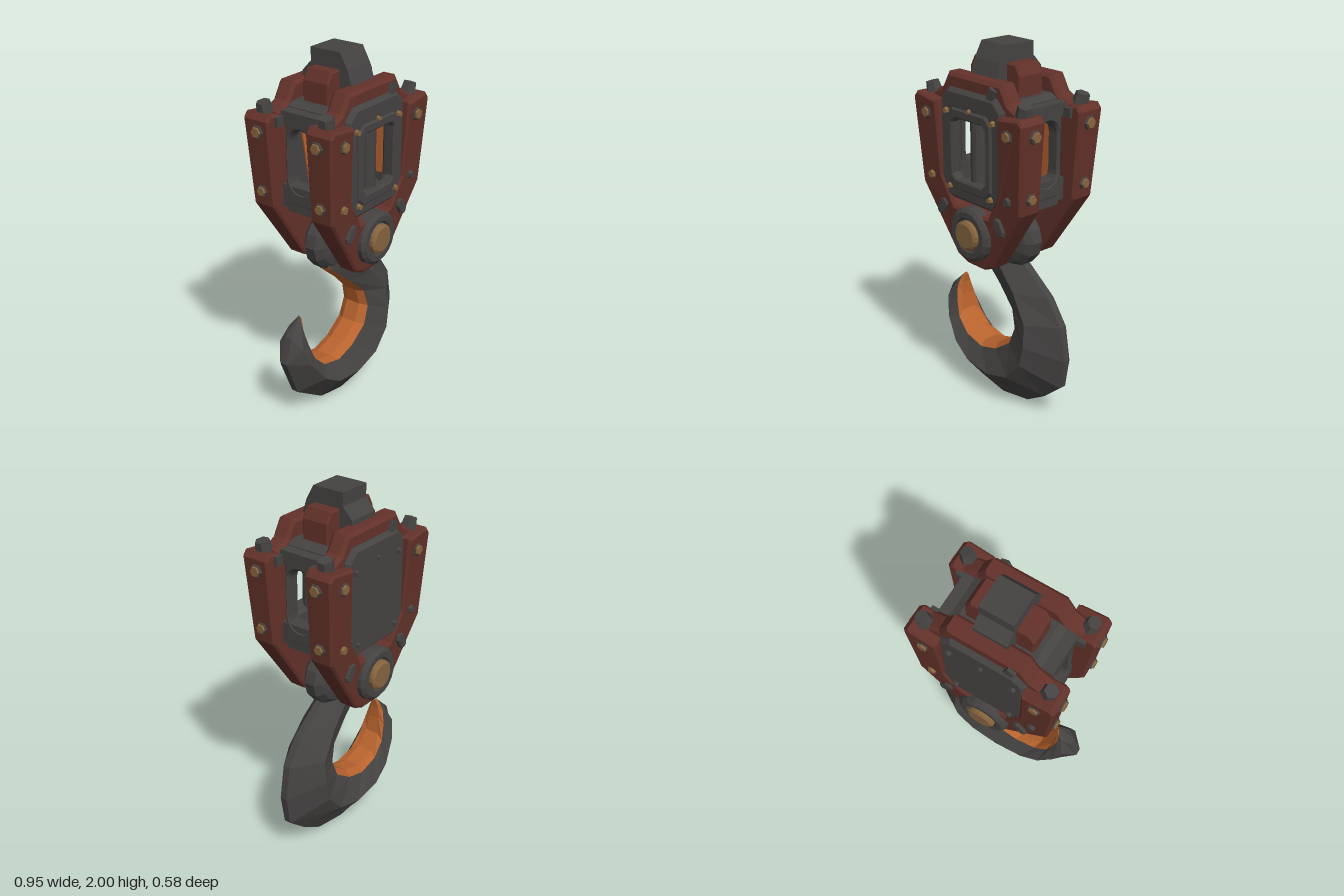
import * as THREE from 'three';

const mat = (name, color) => Object.assign(new THREE.MeshStandardMaterial({ color }), { name });

export function createModel() {
  const grey = mat('dark steel', 0x454342), red = mat('rust red paint', 0x63322a);
  const brown = mat('bronze', 0x87653f), orange = mat('orange paint', 0xb8632e);
  const root = new THREE.Group();
  root.name = 'craneHookBlock';

  // Faceted mesh helper
  const add = (parent, name, geo, material) => {
    const g = geo.index ? geo.toNonIndexed() : geo;
    g.computeVertexNormals();
    const m = new THREE.Mesh(g, material);
    m.name = name;
    parent.add(m);
    return m;
  };
  const box = (parent, name, m, w, h, d, x, y, z) =>
    add(parent, name, new THREE.BoxGeometry(w, h, d).translate(x, y, z), m);
  const poly = pts => new THREE.Shape(pts.map(p => new THREE.Vector2(...p)));
  // Mirrors the right half of an outline across x = 0
  const mirrored = half => poly([...half, ...half.slice().reverse().map(([x, y]) => [-x, y])]);
  // Extrudes exactly between z0 and z1, with bevels inside the outline
  const slab = (shape, z0, z1, b = 0.012) => new THREE.ExtrudeGeometry(shape, {
    depth: z1 - z0 - 2 * b, bevelEnabled: b > 0, bevelThickness: b, bevelSize: b,
    bevelOffset: -b, bevelSegments: 1, curveSegments: 5,
  }).translate(0, 0, z0 + b);
  // Rectangle with cut corners
  const octagon = (w, y0, y1, c) => mirrored([[w - c, y0], [w, y0 + c], [w, y1 - c], [w - c, y1]]);
  // Hexagonal bolt head standing on a surface along dir
  const bolt = (parent, m, r, h, pos, dir) => {
    const g = new THREE.CylinderGeometry(r * 0.8, r, h, 6).translate(0, h / 2, 0);
    const b = add(parent, 'bolt', g, m);
    b.position.set(...pos);
    b.quaternion.setFromUnitVectors(new THREE.Vector3(0, 1, 0), new THREE.Vector3(...dir).normalize());
  };
  // Bronze bolt on a steel washer
  const stud = (parent, r, h, pos, dir) => {
    bolt(parent, grey, r, h * 0.6, pos, dir);
    bolt(parent, brown, r * 0.78, h, pos, dir);
  };

  // One cheek of the block, facing +z
  const cheek = front => {
    const c = new THREE.Group();
    c.name = front ? 'frontCheek' : 'backCheek';

    // Forked red plate, thinner towards the pin
    const fork = slab(mirrored([[0.07, 0.842], [0.14, 0.873], [0.375, 1.23], [0.41, 1.69], [0.385, 1.72],
      [0.23, 1.7], [0.215, 1.3], [0.13, 1.15]]), 0.115, 0.275, 0.012);
    const p = fork.attributes.position;
    for (let i = 0; i < p.count; i++) {
      const y = p.getY(i), z = p.getZ(i);
      const outer = y > 1.2 ? 0.25 + (y - 1.2) * 0.05 : 0.22 + (y - 0.86) * 0.088;
      p.setZ(i, 0.115 + (z - 0.115) * (outer - 0.115) / 0.16);
    }
    add(c, 'forkPlate', fork, red);

    // Top beam joining the arms
    add(c, 'topBeam', slab(mirrored([[0.33, 1.67], [0.33, 1.72], [0.25, 1.76], [0.2, 1.845]]),
      0.115, 0.217, 0.018), red);

    // Panel between the arms, with a barred window on the front
    const panel = octagon(0.235, 1.19, 1.775, 0.06);
    if (front) {
      panel.holes.push(octagon(0.135, 1.3, 1.64, 0.025));
      const rim = octagon(0.165, 1.255, 1.68, 0.04);
      rim.holes.push(octagon(0.125, 1.31, 1.63, 0.025));
      add(c, 'windowRim', slab(rim, 0.2, 0.257, 0.008), grey);
      add(c, 'windowBar', new THREE.CylinderGeometry(0.042, 0.042, 0.38, 12).translate(0, 1.47, 0.185), grey);
    }
    add(c, 'panel', slab(panel, 0.17, 0.243, 0.02), grey);
    for (const s of [-1, 1]) {
      const m = front ? brown : grey;
      bolt(c, m, 0.018, 0.022, [s * 0.175, 1.655, 0.24], [0, 0, 1]);
      bolt(c, m, 0.018, 0.022, [s * 0.155, 1.26, 0.24], [0, 0, 1]);
    }
    bolt(c, front ? brown : grey, 0.014, 0.02, [0, 1.68, 0.24], [0, 0, 1]);

    // Arm bolts and slots
    for (const s of [-1, 1]) {
      stud(c, 0.04, 0.022, [s * 0.305, 1.625, 0.265], [0, 0, 1]);
      bolt(c, s < 0 ? brown : grey, 0.025, 0.02, [s * 0.29, 1.29, 0.25], [0, 0, 1]);
      stud(c, 0.042, 0.025, [s * 0.4, 1.63, 0.185], [s, 0, 0]);
      stud(c, 0.038, 0.025, [s * 0.375, 1.31, 0.185], [s, 0, 0]);
      bolt(c, grey, 0.045, 0.055, [s * 0.335, 1.715, 0.19], [s * 0.25, 1, 0.1]);
      const slot = add(c, 'slot', slab(octagon(0.027, -0.05, 0.05, 0.018), 0, 0.03, 0.006), grey);
      slot.position.set(s * 0.22, 1.13, 0.228);
      slot.rotation.z = s * -0.55 * -1;
    }
    const lug = box(c, 'beamLug', grey, 0.045, 0.06, 0.03, 0.145, 1.79, 0.22);
    lug.geometry.translate(-0.145, -1.79, -0.22).rotateZ(-0.4).translate(0.145, 1.79, 0.22);

    // Pin boss and bronze cap
    const disc = (name, m, pts) => add(c, name, new THREE.LatheGeometry(
      pts.map(q => new THREE.Vector2(...q)), 18).rotateX(Math.PI / 2).translate(0, 1.03, 0), m);
    disc('pinBoss', grey, [[0.145, 0.2], [0.145, 0.255], [0.125, 0.272], [0.095, 0.272], [0.085, 0.26], [0, 0.26]]);
    disc('pinCap', brown, [[0.08, 0.25], [0.08, 0.28], [0.065, 0.29], [0, 0.29]]);
    return c;
  };
  const back = cheek(false);
  back.rotation.y = Math.PI;
  root.add(cheek(true), back);

  // Orange linings: inner face of the back cheek and the left inner wall
  add(root, 'backLining', slab(poly([[-0.115, 1.66], [-0.04, 1.25], [-0.02, 1.19], [0.21, 1.19], [0.21, 1.66]]),
    -0.168, -0.16, 0), orange);
  add(root, 'wallLining', new THREE.PlaneGeometry(0.3, 0.36).rotateY(-Math.PI / 2)
    .translate(0.215, 1.47, 0), orange);

  // Inner frame: cap, sides with rounded openings, centre rod
  const frame = new THREE.Group();
  frame.name = 'innerFrame';
  root.add(frame);
  box(frame, 'topPlate', grey, 0.62, 0.07, 0.23, 0, 1.695, 0);
  add(frame, 'topBlock', slab(mirrored([[0.25, 1.72], [0.25, 1.735], [0.21, 1.755]]), -0.12, 0.12, 0), grey);
  for (const s of [-1, 1]) {
    const side = octagon(0.095, 1.24, 1.7, 0.03);
    const hole = new THREE.Path();
    hole.absarc(0, 1.575, 0.068, 0, Math.PI);
    hole.absarc(0, 1.38, 0.068, Math.PI, 2 * Math.PI);
    hole.closePath();
    side.holes.push(hole);
    add(frame, 'sideFrame', slab(side, -0.04, 0.04, 0.012)
      .rotateY(Math.PI / 2).translate(s * 0.27, 0, 0), grey);
    box(frame, 'sideFoot', grey, 0.08, 0.12, 0.23, s * 0.265, 1.28, 0);
    box(frame, 'lowerSpacer', grey, 0.08, 0.06, 0.23, s * 0.23, 1.21, 0);
    for (const t of [-1, 1]) box(frame, 'flange', grey, 0.06, 0.05, 0.02, s * 0.325, 1.68, t * 0.108);
  }
  add(frame, 'centreRod', new THREE.CylinderGeometry(0.042, 0.042, 0.46, 12).translate(0, 1.45, 0), grey);
  box(frame, 'rodSeat', grey, 0.4, 0.05, 0.23, 0, 1.225, 0);

  // Red saddle and suspension strap on top
  add(root, 'saddle', slab(mirrored([[0.185, 1.73], [0.185, 1.86], [0.155, 1.915]]), -0.078, 0.078, 0.008), red);
  const strap = poly([[0.155, 1.75], [0.155, 1.83], [0.125, 1.92], [0.08, 2], [-0.1, 2], [-0.1, 1.93],
    [-0.155, 1.87], [-0.155, 1.75]]);
  add(root, 'strap', slab(strap, -0.092, 0.092, 0).rotateY(-Math.PI / 2), grey);

  // Pin and hook eye
  add(root, 'pin', new THREE.CylinderGeometry(0.065, 0.065, 0.46, 14).rotateX(Math.PI / 2).translate(0, 1.03, 0), grey);
  const eye = [[0, -0.085], [0.12, -0.085], [0.21, -0.06], [0.245, -0.03], [0.245, 0.03], [0.21, 0.06], [0.12, 0.085], [0, 0.085]];
  add(root, 'hookEye', new THREE.LatheGeometry(eye.map(q => new THREE.Vector2(...q)), 16)
    .rotateX(Math.PI / 2).scale(1, 0.76, 1).translate(0, 0.985, 0), grey);

  // Hook stations: inner x,y, ridge x,y, outer x,y, half width, throat bevel
  const stations = [
    [-0.21, 0.96, 0, 0.96, 0.22, 0.96, 0.07, 0.01],
    [-0.14, 0.83, 0.03, 0.84, 0.16, 0.85, 0.09, 0.01],
    [0.01, 0.7, 0.17, 0.71, 0.345, 0.71, 0.107, 0.014],
    [0.11, 0.595, 0.275, 0.565, 0.44, 0.575, 0.125, 0.022],
    [0.135, 0.5, 0.285, 0.44, 0.472, 0.39, 0.14, 0.028],
    [0.095, 0.4, 0.26, 0.325, 0.445, 0.22, 0.146, 0.03],
    [-0.015, 0.322, 0.16, 0.21, 0.33, 0.12, 0.146, 0.03],
    [-0.13, 0.292, 0, 0.165, 0.2, 0.04, 0.146, 0.03],
    [-0.25, 0.328, -0.17, 0.185, 0, 0.005, 0.142, 0.03],
    [-0.318, 0.408, -0.28, 0.255, -0.18, 0.04, 0.132, 0.03],
    [-0.335, 0.5, -0.365, 0.375, -0.385, 0.18, 0.11, 0.03],
    [-0.338, 0.57, -0.405, 0.475, -0.475, 0.4, 0.08, 0.028],
    [-0.332, 0.615, -0.37, 0.575, -0.43, 0.535, 0.04, 0.022],
    [-0.335, 0.63, -0.335, 0.628, -0.34, 0.625, 0.004, 0.001],
  ];
  const rings = stations.map(([ix, iy, mx, my, ox, oy, w, b]) => {
    const t = b / Math.hypot(ox - ix, oy - iy), e = Math.min(0.02, w / 2);
    const ex = ix + (ox - ix) * t, ey = iy + (oy - iy) * t;
    return [[ix, iy, 0.3 * w], [ex, ey, 0.6 * w], [mx, my, w], [ox, oy, e],
      [ox, oy, -e], [mx, my, -w], [ex, ey, -0.6 * w], [ix, iy, -0.3 * w]];
  });
  const skin = (name, sides, material) => {
    const v = [];
    for (let i = 0; i + 1 < rings.length; i++) for (const j of sides) {
      const k = (j + 1) % 8, [a, b, c, d] = [rings[i][j], rings[i + 1][j], rings[i + 1][k], rings[i][k]];
      v.push(...a, ...b, ...c, ...a, ...c, ...d);
    }
    const g = new THREE.BufferGeometry();
    g.setAttribute('position', new THREE.Float32BufferAttribute(v, 3));
    add(root, name, g, material);
  };
  skin('hookBody', [1, 2, 3, 4, 5], grey);
  skin('hookThroat', [6, 7, 0], orange);

  return root;
}
